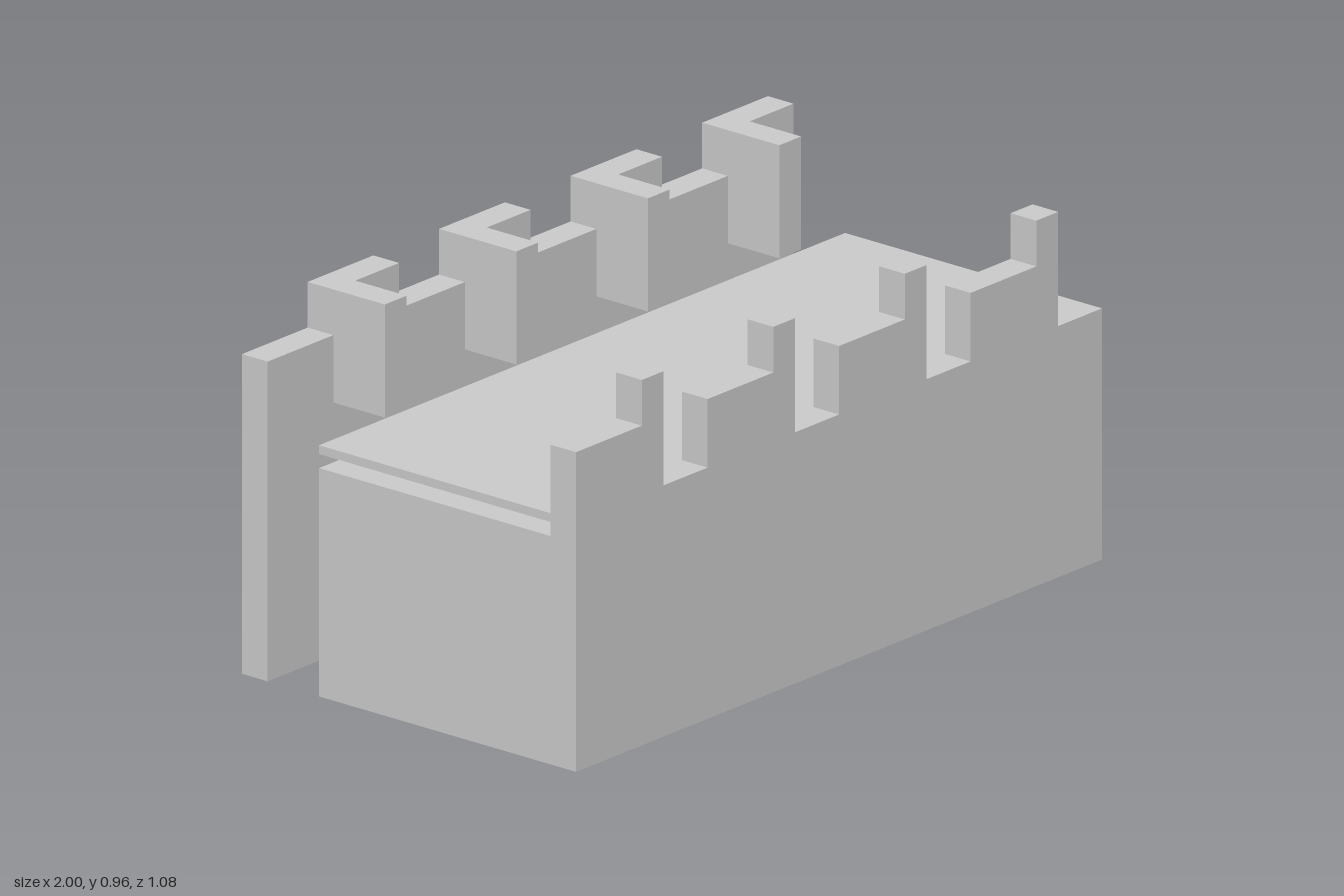
import * as THREE from 'three';

const U = 1 / 12;            // wall thickness
const HALF_DEPTH = 6.5 * U;  // outer faces of the two long walls
const DECK_Y = 0.66, LOW = 0.84, HIGH = 0.96;
const DECK_BACK = -3.5 * U;
const BAYS = [-1, -0.5, 0, 0.5]; // left edge of each repeating battlement bay

export function createModel() {
  const model = new THREE.Group();
  const material = new THREE.MeshStandardMaterial({ color: 0xcccccc, flatShading: true });

  const add = (name, geometry) => {
    const mesh = new THREE.Mesh(geometry, material);
    mesh.name = name;
    model.add(mesh);
    return mesh;
  };

  // Box given by its minimum and maximum corners
  const box = (name, x0, x1, y0, y1, z0, z1) => {
    add(name, new THREE.BoxGeometry(x1 - x0, y1 - y0, z1 - z0))
      .position.set((x0 + x1) / 2, (y0 + y1) / 2, (z0 + z1) / 2);
  };

  // Long wall with a stepped top; steps are [start, end, height] within a bay
  const wall = (name, steps, z) => {
    const shape = new THREE.Shape();
    shape.moveTo(1, 0);
    shape.lineTo(-1, 0);
    for (const x of BAYS) {
      for (const [start, end, height] of steps) {
        shape.lineTo(x + start, height);
        shape.lineTo(x + end, height);
      }
    }
    add(name, new THREE.ExtrudeGeometry(shape, { depth: U, bevelEnabled: false })).position.z = z;
  };

  // Front wall: low parapet, narrow post, then a gap down to the deck
  wall('frontWall', [[0, 3 * U, LOW], [3 * U, 4 * U, HIGH], [4 * U, 6 * U, DECK_Y]], HALF_DEPTH - U);

  // Back wall: alternating low and high battlements
  wall('backWall', [[0, 3 * U, LOW], [3 * U, 6 * U, HIGH]], -HALF_DEPTH);

  // Fins reaching from the back battlements to the deck edge
  for (const x of BAYS) {
    box('battlementFin', x + 3 * U, x + 4 * U, DECK_Y + 0.003, HIGH, -HALF_DEPTH + U, DECK_BACK);
  }

  // Thin walkway deck
  box('deck', -1, 1, 0.637, DECK_Y, DECK_BACK, HALF_DEPTH - U);

  // Cross walls under the deck: one flush with the end, one set in
  box('endWall', -1, -1 + U, 0, 0.6, DECK_BACK, HALF_DEPTH - U);
  box('insetEndWall', 9 * U, 10 * U, 0, 0.6, DECK_BACK, HALF_DEPTH - U);

  return model;
}
